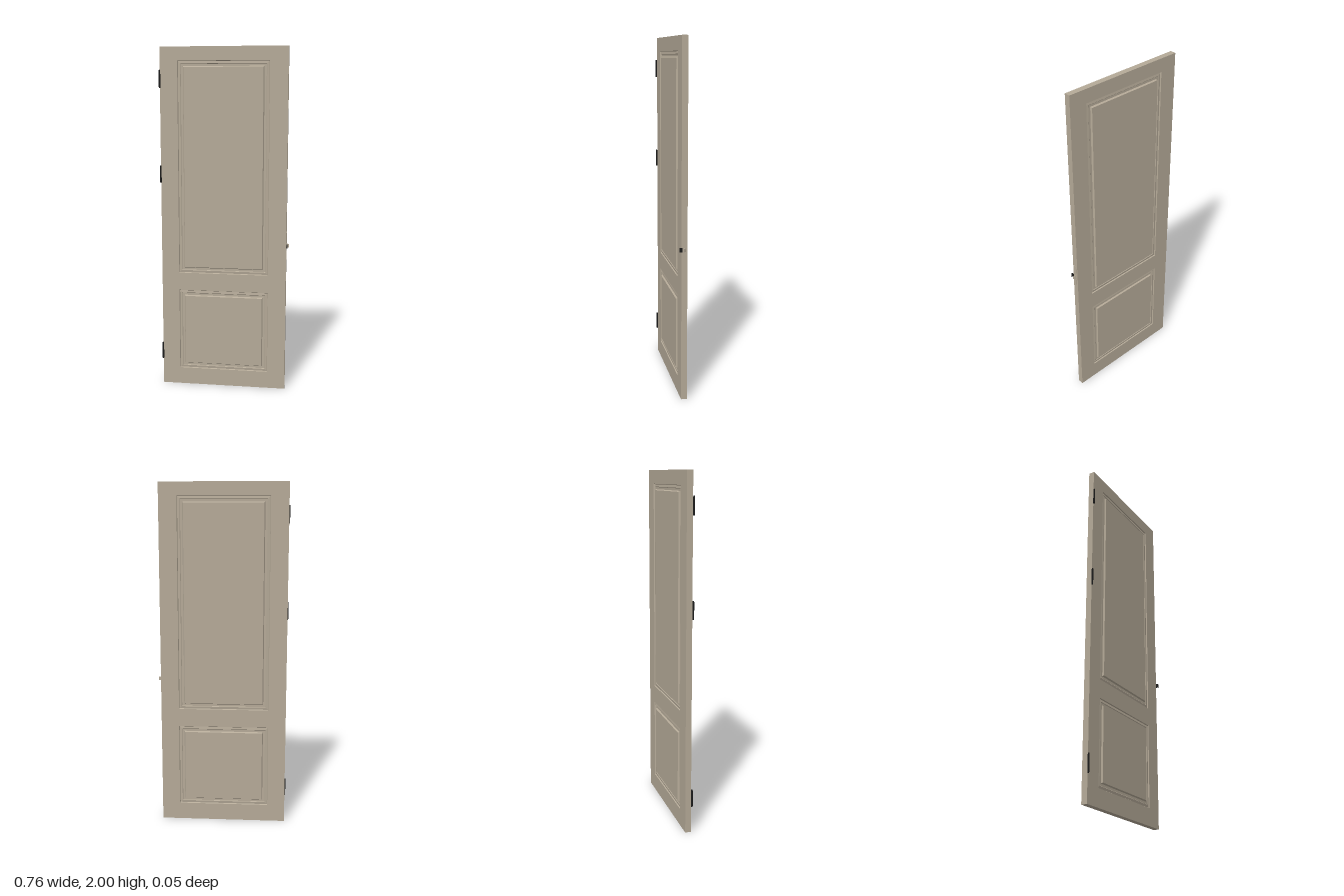
import * as THREE from 'three';

const X0 = -0.373, X1 = 0.361;      // door leaf edges
const Z0 = -0.023, Z1 = 0.0105;     // back and front faces
const MID = (Z0 + Z1) / 2;
const PANELS = [
  { x0: -0.271, x1: 0.257, y0: 0.69, y1: 1.922 },
  { x0: -0.271, x1: 0.257, y0: 0.10, y1: 0.585 },
];
// Moulding section: [inset from the opening, height above the door face]
const MOULDING = [[0, 0], [0.003, -0.006], [0.016, -0.004], [0.019, -0.007], [0.031, -0.007], [0.036, 0.0018]];

function rectPoints(x0, y0, x1, y1) {
  return [[x0, y0], [x1, y0], [x1, y1], [x0, y1]].map(([x, y]) => new THREE.Vector2(x, y));
}

// Nested rectangular rings following the section, closed by a flat field
function panelGeometry(w, h) {
  const pos = [];
  const rings = MOULDING.map(([d, z]) =>
    rectPoints(d - w / 2, d - h / 2, w / 2 - d, h / 2 - d).map((p) => [p.x, p.y, z]));
  const quad = (a, b, c, d) => pos.push(...a, ...b, ...c, ...a, ...c, ...d);
  for (let i = 0; i < rings.length - 1; i++) {
    for (let k = 0; k < 4; k++) {
      const n = (k + 1) % 4;
      quad(rings[i][k], rings[i][n], rings[i + 1][n], rings[i + 1][k]);
    }
  }
  quad(...rings[rings.length - 1]);
  const g = new THREE.BufferGeometry();
  g.setAttribute('position', new THREE.Float32BufferAttribute(pos, 3));
  g.computeVertexNormals();
  return g;
}

export function createModel() {
  const root = new THREE.Group();
  root.name = 'panelDoor';
  const paint = new THREE.MeshStandardMaterial({ color: 0xb5aa98 });
  const black = new THREE.MeshStandardMaterial({ color: 0x1c1c1c });
  const metal = new THREE.MeshStandardMaterial({ color: 0xb5aa98 });

  const add = (parent, name, geometry, material, x = 0, y = 0, z = 0) => {
    const mesh = new THREE.Mesh(geometry, material);
    mesh.name = name;
    mesh.position.set(x, y, z);
    parent.add(mesh);
    return mesh;
  };

  // Stiles and rails: one slab with two openings
  const slab = new THREE.Shape(rectPoints(X0, 0, X1, 2));
  for (const p of PANELS) slab.holes.push(new THREE.Path(rectPoints(p.x0, p.y0, p.x1, p.y1).reverse()));
  add(root, 'doorFrame', new THREE.ExtrudeGeometry(slab, { depth: Z1 - Z0, bevelEnabled: false }), paint, 0, 0, Z0);

  // Moulded panels on both faces
  PANELS.forEach((p, i) => {
    const geo = panelGeometry(p.x1 - p.x0, p.y1 - p.y0);
    const cx = (p.x0 + p.x1) / 2, cy = (p.y0 + p.y1) / 2;
    const label = i === 0 ? 'upper' : 'lower';
    add(root, label + 'PanelFront', geo, paint, cx, cy, Z1);
    add(root, label + 'PanelBack', geo, paint, cx, cy, Z0).rotation.y = Math.PI;
  });

  // Hinges: knuckle with end tips
  for (const y of [1.82, 1.275, 0.205]) {
    const hinge = new THREE.Group();
    hinge.name = 'hinge';
    hinge.position.set(-0.3735, y, 0.0155);
    add(hinge, 'knuckle', new THREE.CylinderGeometry(0.005, 0.005, 0.092, 16), black);
    for (const s of [-1, 1]) add(hinge, 'hingeTip', new THREE.CylinderGeometry(0.0042, 0.0042, 0.005, 16), black, 0, s * 0.0485, 0);
    root.add(hinge);
  }

  // Latch: edge plate, bevelled bolt and bent strike lip
  const latch = new THREE.Group();
  latch.name = 'latch';
  latch.position.set(X1, 0.87, 0);
  add(latch, 'edgePlate', new THREE.BoxGeometry(0.0015, 0.16, 0.02), metal, 0.0007, 0, MID + 0.002);
  const bolt = new THREE.Shape([[0, 0.003], [0.016, 0.003], [0.013, 0.007], [0, 0.013]].map(([x, y]) => new THREE.Vector2(x, y)));
  add(latch, 'latchBolt', new THREE.ExtrudeGeometry(bolt, { depth: 0.02, bevelEnabled: false }), metal, 0, -0.01, 0)
    .rotation.x = -Math.PI / 2;
  add(latch, 'strikeTab', new THREE.BoxGeometry(0.001, 0.025, 0.017), black, 0.0015, 0, 0.0135);
  add(latch, 'strikeLip', new THREE.BoxGeometry(0.007, 0.025, 0.001), black, 0.0045, 0, 0.0215);
  root.add(latch);

  return root;
}
